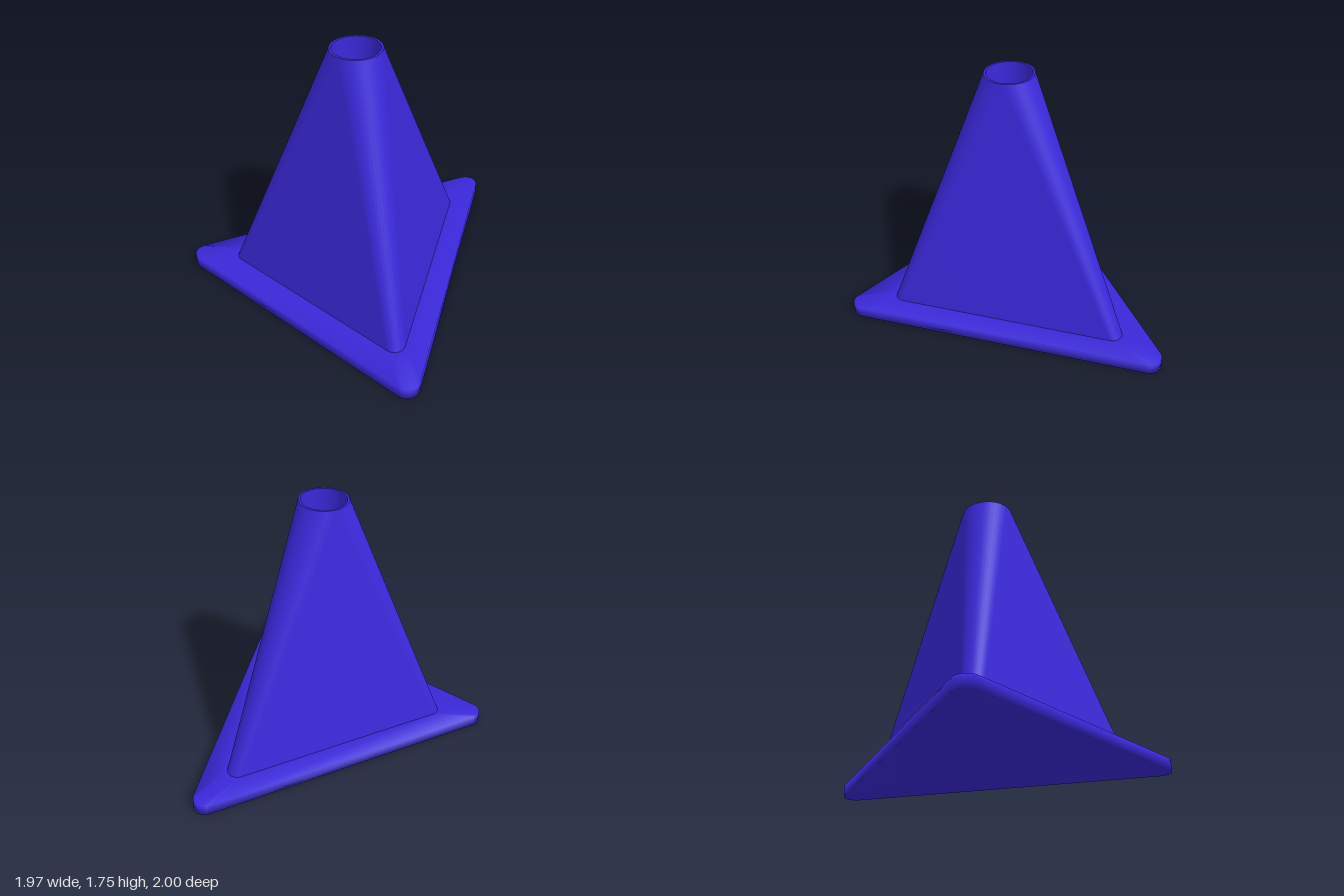
import * as THREE from 'three';

const SEG = 12;                                   // steps per rounded corner
const A = THREE.MathUtils.degToRad(116.2);        // heading of the sloping side's normal
const TOP_Z = 0.31, TOP_Y = 1.75, PLATE_Y = 0.08;

// Rounded triangle: arcs of radius r around two front corners (+-x, zf) and one back corner (0, zb)
function ring(y, r, x, zf, zb) {
  const corners = [
    [x, zf, 0, A],
    [0, zb, A, 2 * Math.PI - A],
    [-x, zf, 2 * Math.PI - A, 2 * Math.PI],
  ];
  const pts = [];
  for (const [cx, cz, a0, a1] of corners) {
    for (let i = 0; i <= SEG; i++) {
      const a = a0 + (a1 - a0) * i / SEG;
      pts.push(new THREE.Vector3(cx + r * Math.sin(a), y, cz + r * Math.cos(a)));
    }
  }
  return pts;
}

// Circle around the cone's top axis, with points matching the triangle rings
const circle = (y, r) => ring(y, r, 0, TOP_Z, TOP_Z);

// Skin through a list of rings, smooth within one skin
function loft(name, rings, material) {
  const n = rings[0].length, index = [];
  for (let k = 0; k < rings.length - 1; k++) {
    for (let i = 0; i < n; i++) {
      const j = (i + 1) % n;
      const a = k * n + i, b = k * n + j, c = a + n, d = b + n;
      index.push(a, b, d, a, d, c);
    }
  }
  const geometry = new THREE.BufferGeometry().setFromPoints(rings.flat());
  geometry.setIndex(index);
  geometry.computeVertexNormals();
  const mesh = new THREE.Mesh(geometry, material);
  mesh.name = name;
  return mesh;
}

export function createModel() {
  const group = new THREE.Group();
  group.name = 'triangularCone';
  const blue = new THREE.MeshStandardMaterial({ color: 0x3a28d8, side: THREE.DoubleSide });

  const foot = ring(PLATE_Y, 0.07, 0.665, 0.75, -0.6);

  // Base plate: closed underside, rim and top up to the foot of the cone
  group.add(loft('basePlate', [
    ring(0, 0, 0, 0.3, 0.3),
    ring(0, 0.08, 0.905, 0.92, -0.92),
    ring(PLATE_Y, 0.08, 0.905, 0.92, -0.92),
    foot,
  ], blue));

  // Cone wall: rounded triangle blending into a circle
  group.add(loft('coneWall', [foot, circle(TOP_Y, 0.165)], blue));

  // Thin rim, tapered bore and its floor
  group.add(loft('topRim', [circle(TOP_Y, 0.165), circle(TOP_Y, 0.15)], blue));
  group.add(loft('bore', [circle(TOP_Y, 0.15), circle(PLATE_Y, 0.115)], blue));
  group.add(loft('boreFloor', [circle(PLATE_Y, 0.115), circle(PLATE_Y, 0)], blue));

  return group;
}
